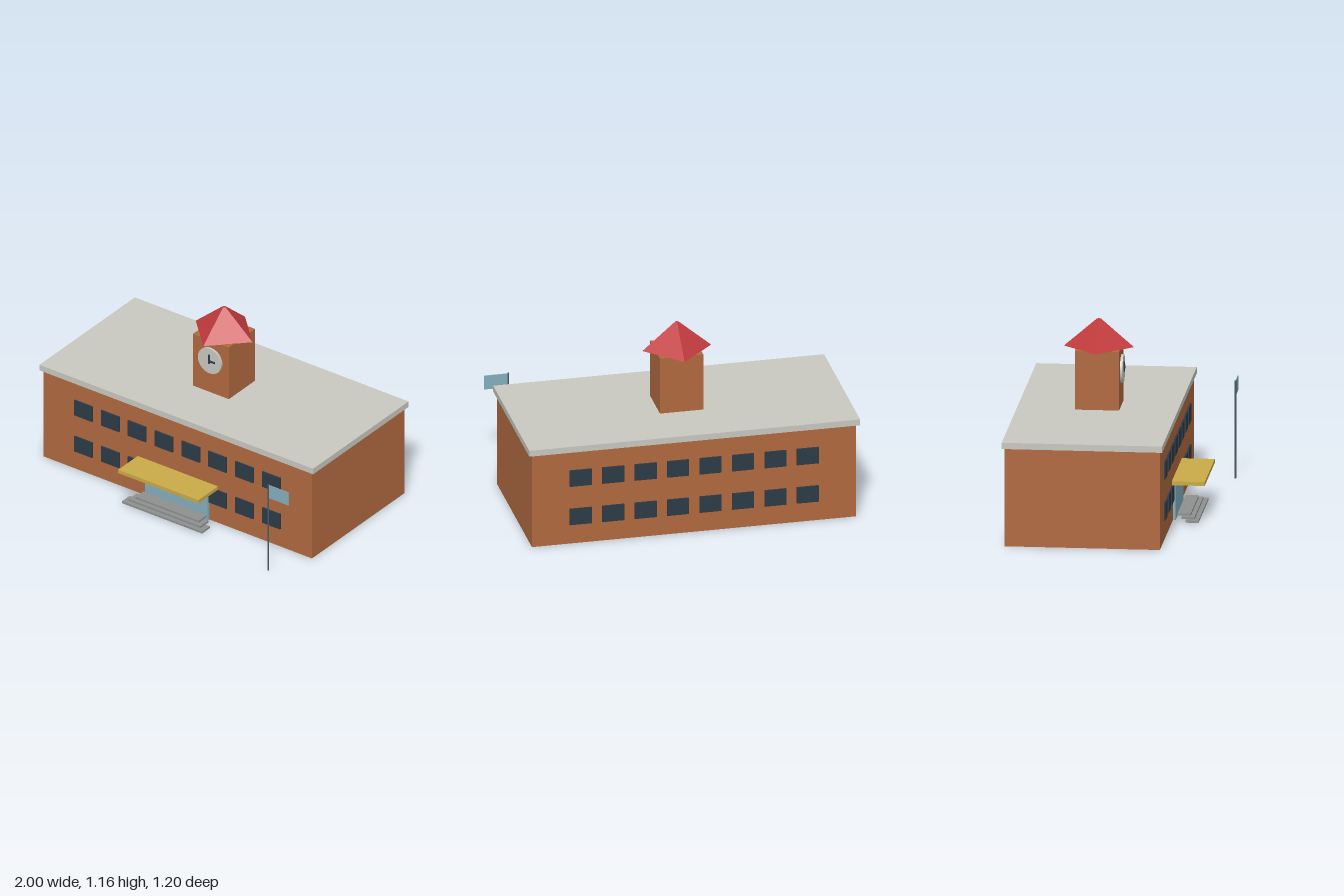
import * as THREE from 'three';

const material = (name, color, extra = {}) => {
  const m = new THREE.MeshStandardMaterial({ color, ...extra });
  m.name = name;
  return m;
};

export function createModel() {
  const brick = material('brick', 0xb0693f);
  const stone = material('pale stone', 0xc8c8c0);
  const red = material('red roof', 0xc43c3e, { flatShading: true });
  const glass = material('dark glass', 0x2d3b46);
  const yellow = material('yellow canopy', 0xc9aa47);
  const blue = material('light blue', 0x84adbd);
  const grey = material('step grey', 0x8c908f);
  const metal = material('pole metal', 0x4a5a62);

  const model = new THREE.Group();
  model.name = 'schoolhouse';

  const add = (name, geometry, mat, x = 0, y = 0, z = 0) => {
    const mesh = new THREE.Mesh(geometry, mat);
    mesh.name = name;
    mesh.position.set(x, y, z);
    model.add(mesh);
    return mesh;
  };
  // Box given by its limits on each axis
  const box = (name, mat, [x0, x1], [y0, y1], [z0, z1]) =>
    add(name, new THREE.BoxGeometry(x1 - x0, y1 - y0, z1 - z0), mat,
      (x0 + x1) / 2, (y0 + y1) / 2, (z0 + z1) / 2);

  // Main block and flat roof
  box('mainBlock', brick, [-0.98, 0.98], [0, 0.594], [-0.584, 0.335]);
  box('flatRoof', stone, [-1, 1], [0.594, 0.632], [-0.6, 0.351]);

  // Two rows of eight windows on the front and back
  for (const y of [0.122, 0.37]) {
    for (let i = 0; i < 8; i++) {
      const x = (i - 3.5) * 0.196;
      box('frontWindow', glass, [x - 0.066, x + 0.066], [y, y + 0.104], [0.335, 0.3445]);
      box('backWindow', glass, [x - 0.066, x + 0.066], [y, y + 0.104], [-0.5935, -0.584]);
    }
  }

  // Entrance
  box('door', blue, [-0.23, 0.23], [0, 0.214], [0.335, 0.351]);
  box('canopy', yellow, [-0.293, 0.293], [0.227, 0.25], [0.335, 0.53]);
  for (let i = 0; i < 3; i++) {
    const w = 0.293 - i * 0.031, y = 0.002 + i * 0.014, z = 0.415 - i * 0.026;
    box('step', grey, [-w, w], [y, y + 0.0125], [z, z + 0.078]);
  }

  // Clock tower with a four-sided roof turned a corner to the front
  box('tower', brick, [-0.131, 0.131], [0.632, 0.988], [-0.256, 0.006]);
  add('towerRoof', new THREE.CylinderGeometry(0.012, 0.208, 0.169, 4), red, 0, 1.0715, -0.126);

  // Clock face and hands
  add('clockFace', new THREE.CylinderGeometry(0.085, 0.085, 0.015, 24), stone, 0, 0.855, 0.0135)
    .rotation.x = Math.PI / 2;
  box('minuteHand', glass, [-0.006, 0.006], [0.838, 0.898], [0.021, 0.027]);
  box('hourHand', glass, [0, 0.042], [0.85, 0.861], [0.021, 0.027]);

  // Flagpole and flag
  add('flagpole', new THREE.CylinderGeometry(0.005, 0.005, 0.592, 12), metal, 0.852, 0.296, 0.595);
  box('flag', blue, [0.855, 1], [0.499, 0.588], [0.593, 0.597]);

  return model;
}
